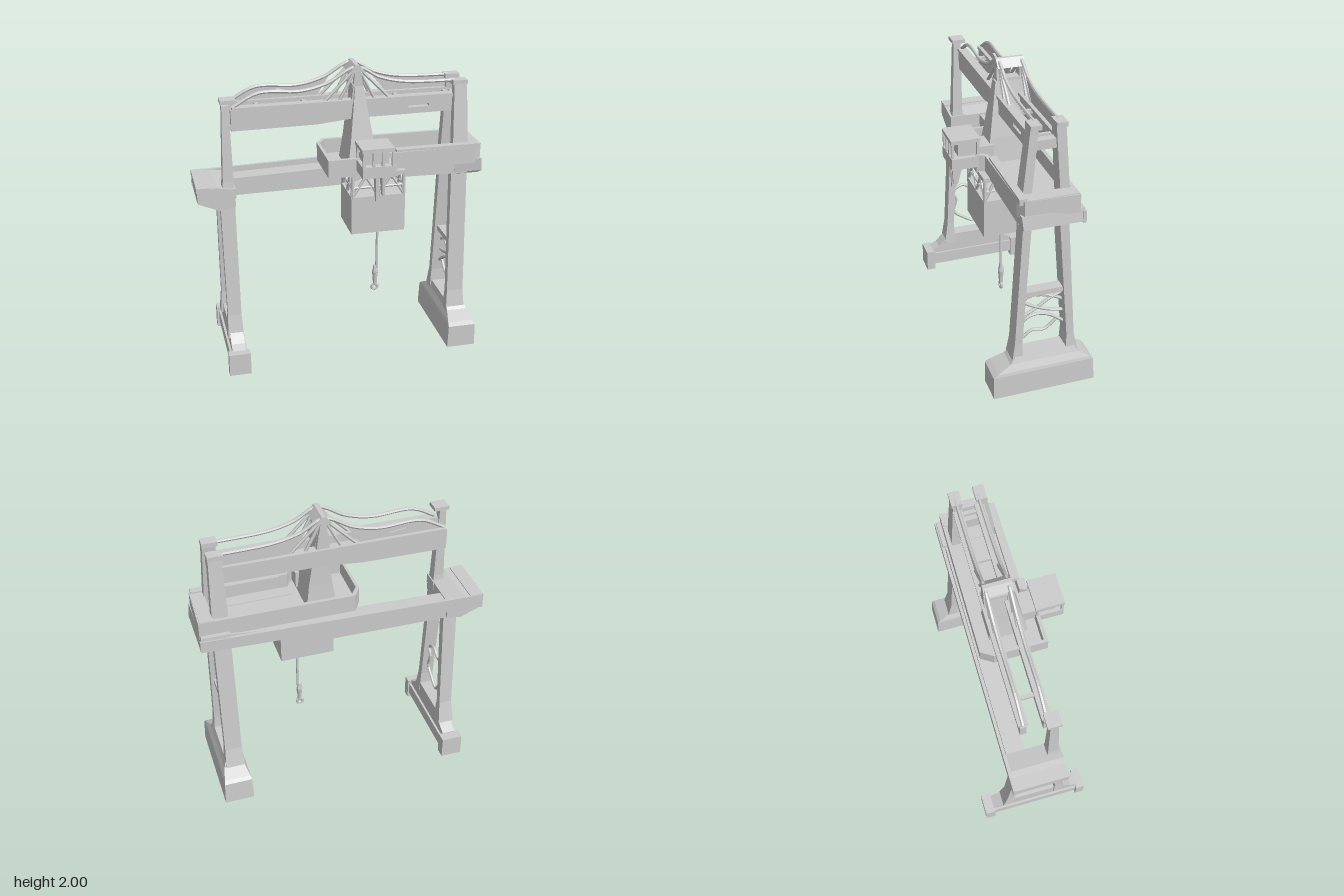
import * as THREE from 'three';

const mat = new THREE.MeshStandardMaterial({ color: 0xcccccc, flatShading: true, side: THREE.DoubleSide });

export function createModel() {
  const root = new THREE.Group();
  const add = (name, geo) => {
    const m = new THREE.Mesh(geo, mat);
    m.name = name;
    root.add(m);
    return m;
  };
  // axis-aligned box from its limits
  const box = (name, x0, x1, y0, y1, z0, z1) =>
    add(name, new THREE.BoxGeometry(x1 - x0, y1 - y0, z1 - z0)
      .translate((x0 + x1) / 2, (y0 + y1) / 2, (z0 + z1) / 2));
  // stack of rectangles [y, x0, x1, z0, z1] joined into one body
  const loft = (name, rows, openBottom = false) => {
    const pos = [], idx = [];
    rows.forEach(([y, x0, x1, z0, z1]) => pos.push(x0, y, z1, x1, y, z1, x1, y, z0, x0, y, z0));
    for (let r = 0; r < rows.length - 1; r++) for (let i = 0; i < 4; i++) {
      const a = r * 4 + i, b = r * 4 + (i + 1) % 4;
      idx.push(a, b, b + 4, a, b + 4, a + 4);
    }
    const t = (rows.length - 1) * 4;
    idx.push(t, t + 1, t + 2, t, t + 2, t + 3);
    if (!openBottom) idx.push(0, 2, 1, 0, 3, 2);
    let g = new THREE.BufferGeometry();
    g.setAttribute('position', new THREE.Float32BufferAttribute(pos, 3));
    g.setIndex(idx);
    g = g.toNonIndexed();
    g.computeVertexNormals();
    return add(name, g);
  };
  const v2 = (pts) => pts.map(([a, b]) => new THREE.Vector2(a, b));
  const extrude = (pts, depth, holes = []) => {
    const s = new THREE.Shape(v2(pts));
    holes.forEach((h) => s.holes.push(new THREE.Path(v2(h))));
    return new THREE.ExtrudeGeometry(s, { depth, bevelEnabled: false });
  };
  // side outline (x, y) between two z limits
  const plate = (name, pts, z0, z1, holes) =>
    add(name, extrude(pts, z1 - z0, holes).translate(0, 0, z0));
  // plan outline (x, z) between two heights
  const slab = (name, pts, y0, y1, holes = []) => {
    const flip = (p) => p.map(([x, z]) => [x, -z]);
    return add(name, extrude(flip(pts), y1 - y0, holes.map(flip)).rotateX(-Math.PI / 2).translate(0, y0, 0));
  };
  // round bar through points
  const bar = (name, pts, r = 0.01, seg = 16) => {
    const p = pts.map((q) => new THREE.Vector3(...q));
    const c = p.length === 2 ? new THREE.LineCurve3(p[0], p[1]) : new THREE.CatmullRomCurve3(p);
    return add(name, new THREE.TubeGeometry(c, p.length === 2 ? 1 : seg, r, 6));
  };

  // right-hand (+x) foot: hollow block with flared shoulders
  loft('leftFoot', [[0, 0.71, 0.91, -0.37, 0.32], [0.16, 0.715, 0.905, -0.36, 0.32],
    [0.18, 0.72, 0.9, -0.34, 0.29], [0.225, 0.74, 0.88, -0.26, 0.2], [0.27, 0.75, 0.865, -0.24, 0.16]], true);
  box('leftFootCeiling', 0.72, 0.9, 0.05, 0.06, -0.36, 0.31);

  // other foot: thin flared web between two end blocks
  const footWeb = new THREE.Shape(v2([[-0.34, 0.03], [0.3, 0.03], [0.3, 0.15], [0.24, 0.18],
    [0.15, 0.27], [-0.19, 0.27], [-0.26, 0.2], [-0.34, 0.16]]));
  add('rightFootWeb', new THREE.ExtrudeGeometry(footWeb, { depth: 0.09, bevelEnabled: false })
    .rotateY(-Math.PI / 2).translate(-0.705, 0, 0));
  for (const [a, b] of [[0.28, 0.34], [-0.405, -0.335]])
    box('rightFootEnd', -0.825, -0.68, 0, 0.155, a, b);
  box('rightFootSill', -0.81, -0.69, 0.04, 0.13, -0.34, 0.3);

  // leaning leg pairs, each as a tapered loft
  for (const [x0, x1, t0, t1, yt, side] of [[0.745, 0.86, 0.75, 0.86, 1.33, 'left'], [-0.8, -0.71, -0.81, -0.715, 1.2, 'right']]) {
    loft(side + 'FrontLeg', [[0.2, x0 - 0.01, x1 + 0.01, 0.11, 0.19], [0.36, x0, x1, 0.115, 0.165], [yt, t0, t1, 0.06, 0.115]]);
    loft(side + 'BackLeg', [[0.2, x0 - 0.01, x1 + 0.01, -0.27, -0.18], [0.36, x0, x1, -0.235, -0.185], [yt, t0, t1, -0.165, -0.105]]);
    const c = (x0 + x1) / 2;
    // curved climbing braces between the legs
    const braces = side === 'left'
      ? [[[0.13, 0.6], [0.06, 0.67], [-0.06, 0.66], [-0.19, 0.6]], [[0.13, 0.52], [0.03, 0.56], [-0.08, 0.63], [-0.17, 0.67]],
        [[0.13, 0.66], [0.04, 0.6], [-0.07, 0.55], [-0.19, 0.52]], [[0.14, 0.44], [0.05, 0.52], [-0.05, 0.52], [-0.19, 0.43]],
        [[0.1, 0.36], [0.03, 0.41], [-0.05, 0.4], [-0.13, 0.46]]]
      : [[[0.13, 0.62], [0.08, 0.55], [0.1, 0.44], [0.03, 0.38], [-0.05, 0.34], [-0.11, 0.42]],
        [[0.13, 0.6], [0.03, 0.66], [-0.05, 0.62], [-0.13, 0.66], [-0.18, 0.58]], [[-0.19, 0.5], [-0.13, 0.53], [-0.11, 0.42]]];
    braces.forEach((b) => bar(side + 'LegBrace', b.map(([z, y]) => [c, y, z]), 0.011));
    if (side === 'left') box('leftLegCrossbar', x0 + 0.02, x1 - 0.02, 0.69, 0.725, -0.2, 0.12);
    box(side + 'LegTopTie', t0, t1, yt - 0.1, yt, -0.13, 0.09);
  }

  // main girder, rail and end carriages
  plate('mainGirder', [[-0.72, 1.12], [0.1, 1.13], [0.45, 1.24], [0.85, 1.25], [0.85, 1.33], [0, 1.26], [-0.72, 1.24]], -0.22, -0.1);
  plate('girderRail', [[-0.96, 1.17], [0.955, 1.24], [0.955, 1.32], [-0.96, 1.27]], -0.245, -0.225);
  plate('rightEndCarriage', [[-0.955, 1.17], [-0.81, 1.11], [-0.71, 1.13], [-0.71, 1.25], [-0.83, 1.27], [-0.955, 1.265]], -0.235, 0.12);
  box('rightCarriageRim', -0.96, -0.87, 1.245, 1.275, -0.24, 0.12);
  loft('leftEndCarriage', [[1.235, 0.78, 0.93, -0.23, 0.14], [1.25, 0.76, 0.955, -0.24, 0.15], [1.34, 0.76, 0.945, -0.235, 0.16]]);
  plate('frontGirder', [[0.28, 1.3], [0.42, 1.25], [0.85, 1.24], [0.85, 1.34], [0.28, 1.34]], 0.06, 0.15);

  // open machinery tray
  const rim = [[-0.12, 0.23], [-0.12, -0.13], [-0.07, -0.21], [0.95, -0.205], [0.94, 0.14], [0.88, 0.17], [0.3, 0.18], [0.28, 0.23]];
  const inner = [[-0.1, 0.205], [-0.1, -0.12], [-0.055, -0.185], [0.92, -0.18], [0.915, 0.125], [0.87, 0.145], [0.28, 0.155], [0.26, 0.205]];
  slab('trayWall', rim, 1.325, 1.435, [inner]);
  slab('trayFloor', rim, 1.315, 1.335);
  box('trayFrontRail', 0.35, 0.93, 1.41, 1.45, 0.12, 0.17);
  box('trayEndBox', 0.85, 0.94, 1.33, 1.44, -0.2, 0.13);

  // upper supports: one mast on one side, a leaning pair on the other
  loft('rightMast', [[1.2, -0.8, -0.71, 0.02, 0.11], [1.3, -0.785, -0.715, 0.03, 0.1], [1.8, -0.77, -0.725, 0.03, 0.08]]);
  box('mastCollar', -0.81, -0.705, 1.19, 1.255, 0.01, 0.12);
  box('mastCap', -0.78, -0.68, 1.815, 1.84, 0.01, 0.1);
  loft('leftFrontPost', [[1.3, 0.75, 0.86, 0.08, 0.14], [1.84, 0.76, 0.845, 0.03, 0.08]]);
  loft('leftBackPost', [[1.3, 0.75, 0.86, -0.18, -0.12], [1.84, 0.76, 0.845, -0.14, -0.08]]);
  for (const z of [0.05, -0.11]) box('postCap', 0.75, 0.85, 1.835, 1.865, z - 0.04, z + 0.03);
  box('postTie', 0.775, 0.83, 1.7, 1.76, -0.1, 0.05);

  // twin upper beams with slot, walkway flange and hanging stay
  const beam = [[-0.71, 1.62], [-0.15, 1.625], [0.1, 1.65], [0.77, 1.655], [0.77, 1.77], [0.2, 1.775], [-0.71, 1.755]];
  for (const z of [0.03, -0.115]) {
    plate('upperBeam', beam, z - 0.02, z + 0.02, z > 0 ? [[[0.46, 1.695], [0.6, 1.695], [0.6, 1.715], [0.46, 1.715]]] : []);
    box('beamFlange', -0.7, 0.78, 1.755, 1.775, z - 0.03, z + 0.03);
    bar('upperStay', [[-0.7, 1.77], [-0.53, 1.855], [-0.25, 1.85], [-0.08, 1.89], [0.11, 1.985], [0.26, 1.91], [0.42, 1.87], [0.8, 1.855]]
      .map(([x, y]) => [x, y, z]), 0.012, 40);
    for (const [x0, x1] of [[-0.1, 0.09], [0.33, 0.14], [0.0, 0.1], [0.23, 0.13]])
      bar('stayStrut', [[x0, 1.77, z], [x1, 1.96, z]], 0.011);
  }
  plate('rightStayPanel', [[-0.7, 1.77], [-0.12, 1.77], [-0.04, 1.9], [-0.25, 1.85], [-0.53, 1.86]], -0.12, -0.11,
    [[[-0.44, 1.815], [-0.32, 1.8], [-0.32, 1.82], [-0.38, 1.835]]]);
  plate('leftStayPanel', [[0.34, 1.775], [0.78, 1.775], [0.8, 1.855], [0.44, 1.865], [0.22, 1.92]], -0.12, -0.11);
  for (const x of [-0.53, -0.22, 0.4, 0.74]) box('beamTie', x - 0.012, x + 0.012, 1.735, 1.76, -0.11, 0.03);

  // central tower and its head frame
  loft('tower', [[1.33, 0.03, 0.23, -0.12, 0.14], [1.5, 0.055, 0.21, -0.11, 0.115], [1.86, 0.095, 0.15, -0.1, 0.06]]);
  for (const z of [0.035, -0.115])
    loft('headPost', [[1.72, 0.07, 0.17, z - 0.015, z + 0.015], [1.99, 0.1, 0.13, z - 0.015, z + 0.015]]);
  loft('headCap', [[1.95, 0.06, 0.17, -0.13, 0.05], [2, 0.1, 0.125, -0.13, 0.05]]);
  box('headTie', 0.08, 0.15, 1.85, 1.875, -0.125, 0.045);

  // operator cab: tub, roof, window posts and hanging gear
  box('cabTub', 0.065, 0.285, 1.355, 1.43, 0.21, 0.39);
  box('cabCore', 0.09, 0.25, 1.43, 1.53, 0.22, 0.34);
  box('cabRoof', 0.06, 0.275, 1.525, 1.55, 0.2, 0.39);
  for (const x of [0.075, 0.14, 0.2, 0.265]) for (const z of [0.215, 0.38])
    box('cabPost', x - 0.008, x + 0.008, 1.42, 1.53, z - 0.008, z + 0.008);
  box('cabBracket', 0.09, 0.24, 1.36, 1.47, 0.1, 0.22);
  for (const [x, y] of [[0.17, 1.18], [0.21, 1.22]])
    loft('cabHanger', [[y, x - 0.008, x + 0.008, 0.335, 0.365], [1.36, x - 0.012, x + 0.012, 0.3, 0.37]]);

  // suspended box with a lattice collar
  box('hangingBox', 0.035, 0.4, 0.9, 1.16, -0.07, 0.22);
  box('latticeTop', 0.035, 0.4, 1.295, 1.325, -0.07, 0.22);
  const corner = [[0.045, 0.21], [0.39, 0.21], [0.39, -0.06], [0.045, -0.06]];
  corner.forEach(([xa, za], i) => {
    const [xb, zb] = corner[(i + 1) % 4];
    const at = (t, y) => [xa + (xb - xa) * t, y, za + (zb - za) * t];
    bar('latticeCorner', [at(0, 1.15), at(0, 1.31)], 0.013);
    bar('latticeRail', [at(0, 1.225), at(1, 1.225)], 0.01);
    for (let k = 0; k < 4; k++)
      bar('latticeDiagonal', [at(k / 4, k % 2 ? 1.3 : 1.16), at((k + 1) / 4, k % 2 ? 1.16 : 1.3)], 0.01);
  });

  // hoist rope and hook block
  add('hoistRope', new THREE.CylinderGeometry(0.008, 0.01, 0.36, 8).translate(0.257, 0.73, 0.06));
  add('hookBlock', new THREE.LatheGeometry(v2([[0, 0.41], [0.014, 0.42], [0.016, 0.47], [0.022, 0.52], [0.012, 0.57], [0, 0.58]]), 8)
    .translate(0.248, 0, 0.055));
  add('hook', new THREE.TorusGeometry(0.02, 0.011, 6, 12).translate(0.246, 0.404, 0.055));

  return root;
}
